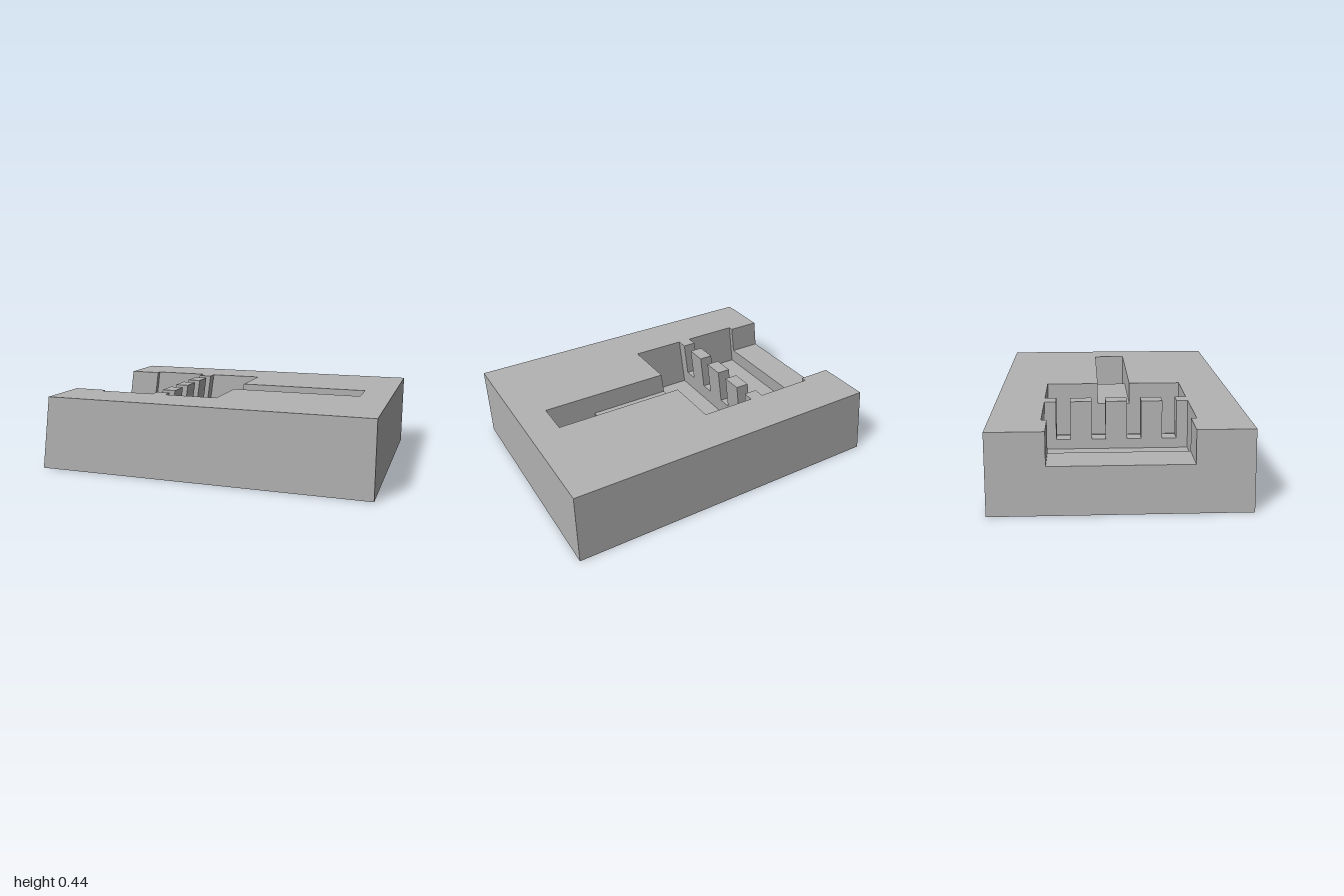
import * as THREE from 'three';

const H = 0.445;      // block height
const LEAN = 0.144;   // every cut leans towards -x by this much per unit of depth

// Grid lines (x is measured on the top face, before leaning)
const XS = [-0.936, -0.735, -0.393, -0.31, 0.021, 0.523, 0.818, 1];
const HALF_Z = [0.064, 0.102, 0.147, 0.273, 0.357, 0.393, 0.424, 0.71];
const ZS = [...HALF_Z.map((z) => -z).reverse(), ...HALF_Z];

// Height of the solid in each grid cell; 0 is a through hole or outside
function heightAt(i, j) {
  if (i < 0 || j < 0 || i >= XS.length - 1 || j >= ZS.length - 1) return 0;
  const z = Math.abs(ZS[j] + ZS[j + 1]) / 2;
  const inPocket = z < 0.424;
  const inSlot = z < 0.102;
  switch (i) {
    case 0: return z < 0.393 ? 0.263 : H;              // entry notch
    case 1: return inPocket ? 0.165 : H;               // front pocket
    case 2: {                                          // toothed divider
      const gap = (z > 0.064 && z < 0.147) || (z > 0.273 && z < 0.357);
      return gap ? 0.222 : H;
    }
    case 3: return inPocket ? 0.115 : H;               // rear pocket
    case 4: return inSlot ? 0.315 : H;                 // long slot
    case 5: return inSlot ? 0 : H;                     // through hole
    default: return H;
  }
}

function buildBlock() {
  const positions = [];
  // The far +x end stays upright; everything else leans
  const point = ([x, y, z]) => [x === 1 ? 1 : x - LEAN * (H - y), y, z];
  const quad = (a, b, c, d, flip = false) => {
    const order = flip ? [a, c, b, a, d, c] : [a, b, c, a, c, d];
    order.forEach((p) => positions.push(...point(p)));
  };

  for (let i = 0; i < XS.length; i++) {
    for (let j = 0; j < ZS.length; j++) {
      const [x0, x1, z0, z1] = [XS[i], XS[i + 1], ZS[j], ZS[j + 1]];
      const h = heightAt(i, j);
      // Floors and underside
      if (h > 0) {
        quad([x0, h, z0], [x0, h, z1], [x1, h, z1], [x1, h, z0]);
        quad([x0, 0, z0], [x1, 0, z0], [x1, 0, z1], [x0, 0, z1]);
      }
      // Walls across x
      const left = heightAt(i - 1, j);
      if (left !== h) {
        const lo = Math.min(left, h), hi = Math.max(left, h);
        quad([x0, lo, z1], [x0, lo, z0], [x0, hi, z0], [x0, hi, z1], h > left);
      }
      // Walls across z
      const back = heightAt(i, j - 1);
      if (back !== h) {
        const lo = Math.min(back, h), hi = Math.max(back, h);
        quad([x0, lo, z0], [x1, lo, z0], [x1, hi, z0], [x0, hi, z0], h > back);
      }
    }
  }
  const geometry = new THREE.BufferGeometry();
  geometry.setAttribute('position', new THREE.Float32BufferAttribute(positions, 3));
  geometry.computeVertexNormals();
  return geometry;
}

export function createModel() {
  const grey = new THREE.MeshStandardMaterial({ color: 0xb3b3b3 });
  grey.name = 'plain grey';
  const block = new THREE.Mesh(buildBlock(), grey);
  block.name = 'pocketedBlock';
  const model = new THREE.Group();
  model.name = 'slottedHolder';
  model.add(block);
  return model;
}
